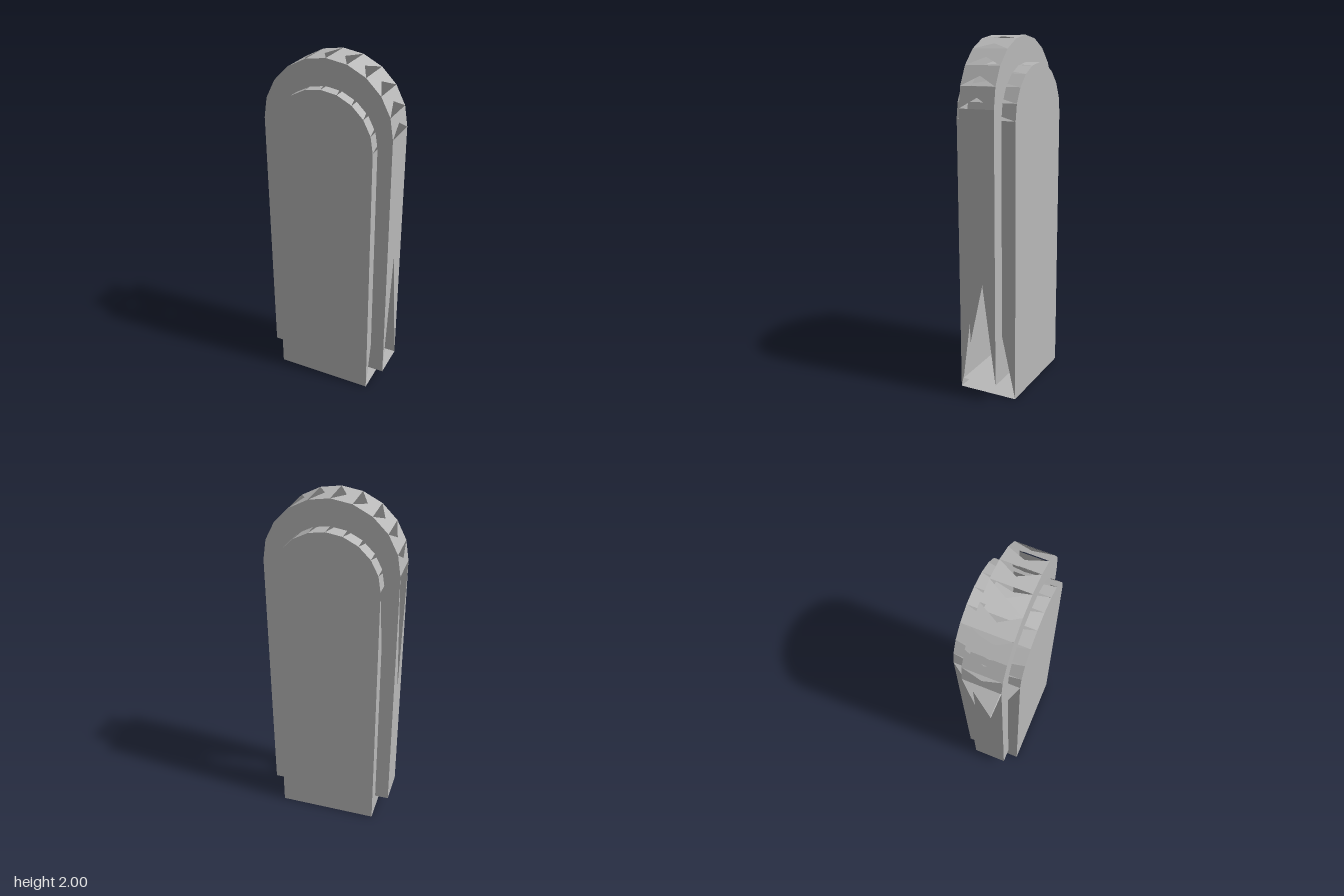
import * as THREE from 'three';

const ARC_SEGMENTS = 10;

// Arched outline, clockwise seen from the front, starting at the lower -x corner
function archOutline(radius, bottom, springY) {
  const points = [new THREE.Vector2(-radius, bottom)];
  for (let i = 0; i <= ARC_SEGMENTS; i++) {
    const a = Math.PI * (1 - i / ARC_SEGMENTS);
    points.push(new THREE.Vector2(radius * Math.cos(a), springY + radius * Math.sin(a)));
  }
  points.push(new THREE.Vector2(radius, bottom));
  return points;
}

// Arched slab: whole front and back, rim panels each with one open triangular notch
function archSlab({ radius, bottom, springY, back, front }) {
  const outline = archOutline(radius, bottom, springY);
  const positions = [];
  const tri = (...corners) => corners.forEach((p) => positions.push(p.x, p.y, p.z));
  const at = (p, z) => new THREE.Vector3(p.x, p.y, z);
  const middle = new THREE.Vector2(0, (bottom + springY) / 2);

  outline.forEach((p, i) => {
    const q = outline[(i + 1) % outline.length];
    const pF = at(p, front), pB = at(p, back);
    const qF = at(q, front), qB = at(q, back);
    const centre = pF.clone().add(qB).multiplyScalar(0.5);

    // Rim panel: three of the four triangles around its centre
    tri(pF, qF, centre);
    tri(qB, pB, centre);
    tri(pB, pF, centre);

    // Front and back faces
    tri(at(middle, front), qF, pF);
    tri(at(middle, back), pB, qB);
  });

  const geometry = new THREE.BufferGeometry();
  geometry.setAttribute('position', new THREE.Float32BufferAttribute(positions, 3));
  geometry.computeVertexNormals();
  return geometry;
}

export function createModel() {
  const model = new THREE.Group();
  model.name = 'archedTablet';

  const stone = new THREE.MeshStandardMaterial({ color: 0xb8b8b8, side: THREE.DoubleSide });
  stone.name = 'stone grey';

  const add = (name, size) => {
    const mesh = new THREE.Mesh(archSlab(size), stone);
    mesh.name = name;
    model.add(mesh);
  };

  // Narrow, thick core reaching the ground
  add('innerSlab', { radius: 0.289, bottom: 0, springY: 1.568, back: -0.176, front: 0.174 });
  // Wide, thin surround raised off the ground
  add('outerSlab', { radius: 0.37, bottom: 0.104, springY: 1.63, back: -0.094, front: 0.111 });

  return model;
}
